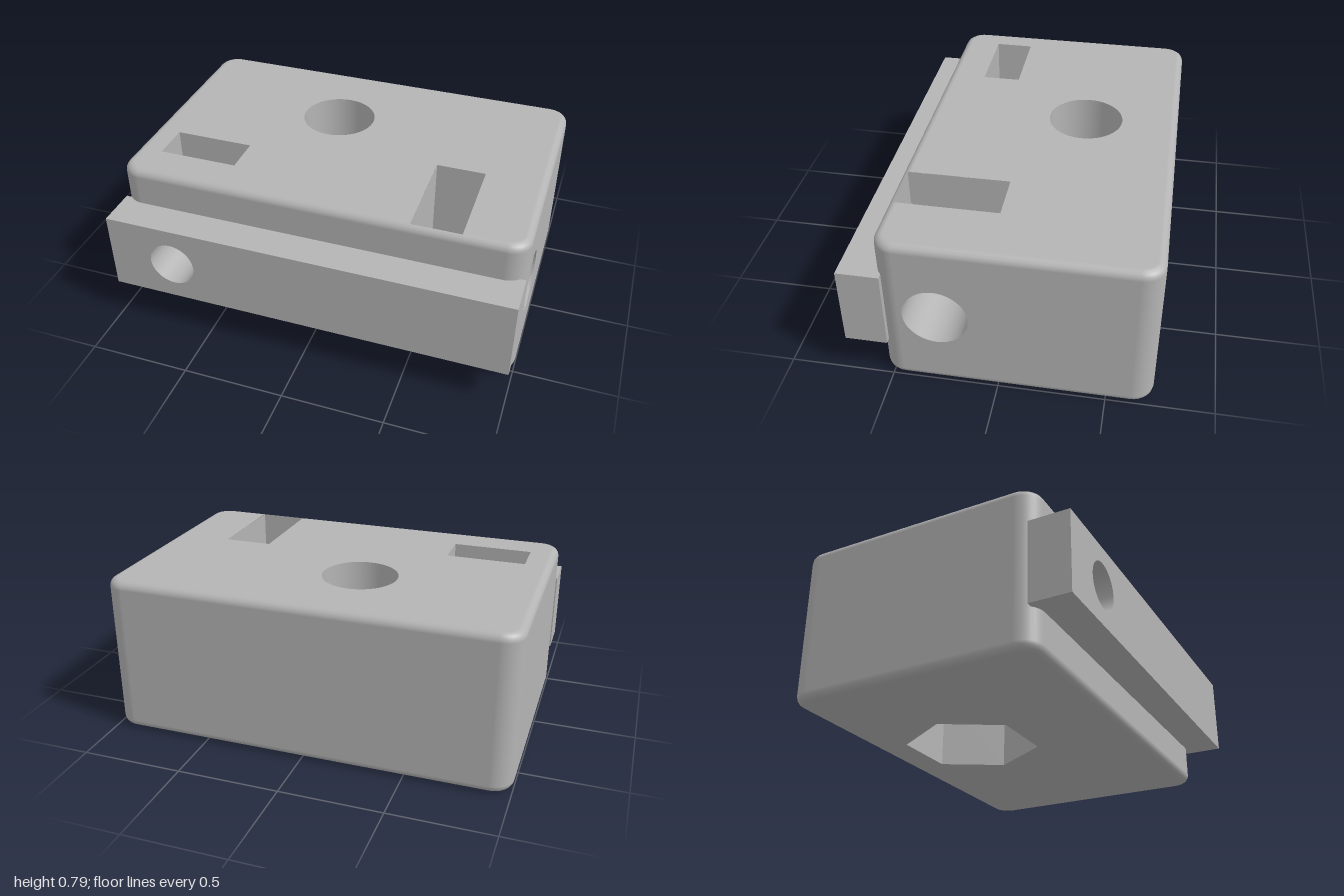
import * as THREE from 'three';

const X = 1, ZB = -0.715, ZF = 0.545, H = 0.785; // body extents
const R = 0.1, r = 0.04, STEPS = 4;              // corner radius, edge fillet
const BOLT_Y = 0.395;
const nutSlot = { x0: 0.46, x1: 0.70, z0: 0.03, z1: 0.52 };
const bore = { x: -0.14, z: -0.25, r: 0.185, hex: 0.333, ledge: 0.4 };

const grey = new THREE.MeshStandardMaterial({ color: 0xb4b4b4, side: THREE.DoubleSide });
grey.name = 'grey';

function mesh(geometry, name) {
  const m = new THREE.Mesh(geometry, grey);
  m.name = name;
  return m;
}

const polygon = (pts) => new THREE.Shape(pts.map(([x, y]) => new THREE.Vector2(x, y)));
const rect = (x0, y0, x1, y1) => polygon([[x0, y0], [x1, y0], [x1, y1], [x0, y1]]);

function withHole(shape, x, y, radius) {
  shape.holes.push(new THREE.Path().absarc(x, y, radius, 0, Math.PI * 2, true));
  return shape;
}
const plate = (shape) => new THREE.ShapeGeometry(shape, 32);

const hexagon = (x, y, radius) => Array.from({ length: 6 }, (_, i) => {
  const a = i * Math.PI / 3;
  return [x + radius * Math.cos(a), y + radius * Math.sin(a)];
});

// Plan outline: corner centre plus outward direction, from +x round to +z
function planOutline() {
  const out = [];
  const centres = [[X - R, ZF - R], [R - X, ZF - R], [R - X, ZB + R], [X - R, ZB + R]];
  centres.forEach(([cx, cz], q) => {
    for (let i = 0; i <= 8; i++) {
      const a = (q + i / 8) * Math.PI / 2;
      out.push({ cx, cz, nx: Math.cos(a), nz: Math.sin(a) });
    }
    // extra points where the nut slot nicks the front edge
    if (q === 0) for (const x of [nutSlot.x1, nutSlot.x0]) out.push({ cx: x, cz, nx: 0, nz: 1 });
  });
  return out;
}

// Rounded walls, leaving the front and right flats open for drilled plates
function roundedWalls(outline) {
  const pos = [], nor = [], idx = [], n = outline.length, rows = 2 * STEPS + 2;
  for (let j = 0; j < rows; j++) {
    const top = j > STEPS;
    const phi = (top ? j - STEPS - 1 : j - STEPS) / STEPS * Math.PI / 2;
    const c = Math.cos(phi), s = Math.sin(phi), d = R - r + r * c;
    for (const p of outline) {
      pos.push(p.cx + p.nx * d, (top ? H - r : r) + r * s, p.cz + p.nz * d);
      nor.push(p.nx * c, s, p.nz * c);
    }
  }
  for (let j = 0; j < rows - 1; j++) {
    for (let i = 0; i < n; i++) {
      const frontFlat = i >= 8 && i <= 10, rightFlat = i === n - 1;
      if (j === STEPS && (frontFlat || rightFlat)) continue;
      if (j === rows - 2 && i === 9) continue;
      const k = (i + 1) % n;
      const a = j * n + i, b = j * n + k, c = b + n, d = a + n;
      idx.push(a, d, c, a, c, b);
    }
  }
  const g = new THREE.BufferGeometry();
  g.setAttribute('position', new THREE.Float32BufferAttribute(pos, 3));
  g.setAttribute('normal', new THREE.Float32BufferAttribute(nor, 3));
  g.setIndex(idx);
  return g;
}

// Pocket open at the top with a pointed floor, and a bolt hole leading out along +z
function nutPocket(name, half, depth, boltRadius, boltLength, endTop = H) {
  const group = new THREE.Group();
  group.name = name;
  const side = BOLT_Y - half / Math.sqrt(3), tip = BOLT_Y - 2 * half / Math.sqrt(3);
  const profile = [[-half, endTop], [-half, side], [0, tip], [half, side], [half, H]];
  const pos = [];
  for (let i = 0; i < profile.length - 1; i++) {
    const [ax, ay] = profile[i], [bx, by] = profile[i + 1];
    pos.push(ax, ay, 0, ax, ay, depth, bx, by, depth, ax, ay, 0, bx, by, depth, bx, by, 0);
  }
  const walls = new THREE.BufferGeometry();
  walls.setAttribute('position', new THREE.Float32BufferAttribute(pos, 3));
  walls.computeVertexNormals();
  group.add(mesh(walls, 'pocketWalls'));
  group.add(mesh(plate(polygon(profile)), 'pocketBack'));
  const front = mesh(plate(withHole(polygon(profile), 0, BOLT_Y, boltRadius)), 'pocketFront');
  front.position.z = depth;
  group.add(front);
  const tube = mesh(new THREE.CylinderGeometry(boltRadius, boltRadius, boltLength, 48, 1, true), 'boltHole');
  tube.rotation.x = Math.PI / 2;
  tube.position.set(0, BOLT_Y, depth + boltLength / 2);
  group.add(tube);
  return group;
}

export function createModel() {
  const model = new THREE.Group();
  model.name = 'clampBlock';
  const outline = planOutline();
  model.add(mesh(roundedWalls(outline), 'bodyWalls'));

  // top face: outline notched by the nut slot, with the bore and the small slot cut out
  const cap = outline.map((p) => [p.cx + p.nx * (R - r), p.cz + p.nz * (R - r)]);
  const notched = [...cap];
  notched.splice(10, 0, [nutSlot.x1, nutSlot.z0], [nutSlot.x0, nutSlot.z0]);
  const topShape = withHole(polygon(notched.map(([x, z]) => [x, -z])), bore.x, -bore.z, bore.r);
  topShape.holes.push(rect(-0.867, -0.35, -0.473, -0.16));
  const top = mesh(plate(topShape).rotateX(-Math.PI / 2), 'topFace');
  top.position.y = H;
  model.add(top);

  // bottom face with hexagonal opening
  const hex = hexagon(bore.x, bore.z, bore.hex);
  const bottomShape = polygon(cap);
  bottomShape.holes.push(polygon(hex));
  model.add(mesh(plate(bottomShape).rotateX(Math.PI / 2), 'bottomFace'));

  // drilled flats
  const frontFace = mesh(plate(withHole(rect(R - X, r, X - R, H - r), -0.67, BOLT_Y, 0.115)), 'frontFace');
  frontFace.position.z = ZF;
  const rightShape = withHole(rect(R - ZF, r, -ZB - R, H - r), -0.277, BOLT_Y, 0.151);
  const sideFace = mesh(plate(rightShape).rotateY(Math.PI / 2), 'sideFace');
  sideFace.position.x = X;
  model.add(frontFace, sideFace);

  // vertical bore over a hexagonal recess
  const boreWall = mesh(new THREE.CylinderGeometry(bore.r, bore.r, H - bore.ledge, 64, 1, true), 'boreWall');
  boreWall.position.set(bore.x, (H + bore.ledge) / 2, bore.z);
  const recess = new THREE.CylinderGeometry(bore.hex, bore.hex, bore.ledge, 6, 1, true, Math.PI / 2).toNonIndexed();
  recess.computeVertexNormals();
  const recessWall = mesh(recess, 'hexRecess');
  recessWall.position.set(bore.x, bore.ledge / 2, bore.z);
  const ledge = mesh(plate(withHole(polygon(hex), bore.x, bore.z, bore.r)).rotateX(Math.PI / 2), 'recessLedge');
  ledge.position.y = bore.ledge;
  model.add(boreWall, recessWall, ledge);

  // nut pockets with their bolt holes
  const small = nutPocket('frontNutPocket', 0.197, 0.19, 0.115, 0.365);
  small.position.set(-0.67, 0, 0.16);
  const half = (nutSlot.z1 - nutSlot.z0) / 2;
  const large = nutPocket('sideNutPocket', half, nutSlot.x1 - nutSlot.x0, 0.151, X - nutSlot.x1, H - 0.003);
  large.position.set(nutSlot.x0, 0, nutSlot.z0 + half);
  large.rotation.y = Math.PI / 2;
  model.add(small, large);

  // front rail
  const railShape = withHole(rect(-X, 0.195, X, 0.595), -0.67, BOLT_Y, 0.115);
  const rail = mesh(new THREE.ExtrudeGeometry(railShape, { depth: 0.2, bevelEnabled: false, curveSegments: 32 }), 'frontRail');
  rail.position.z = 0.515;
  model.add(rail);
  return model;
}
